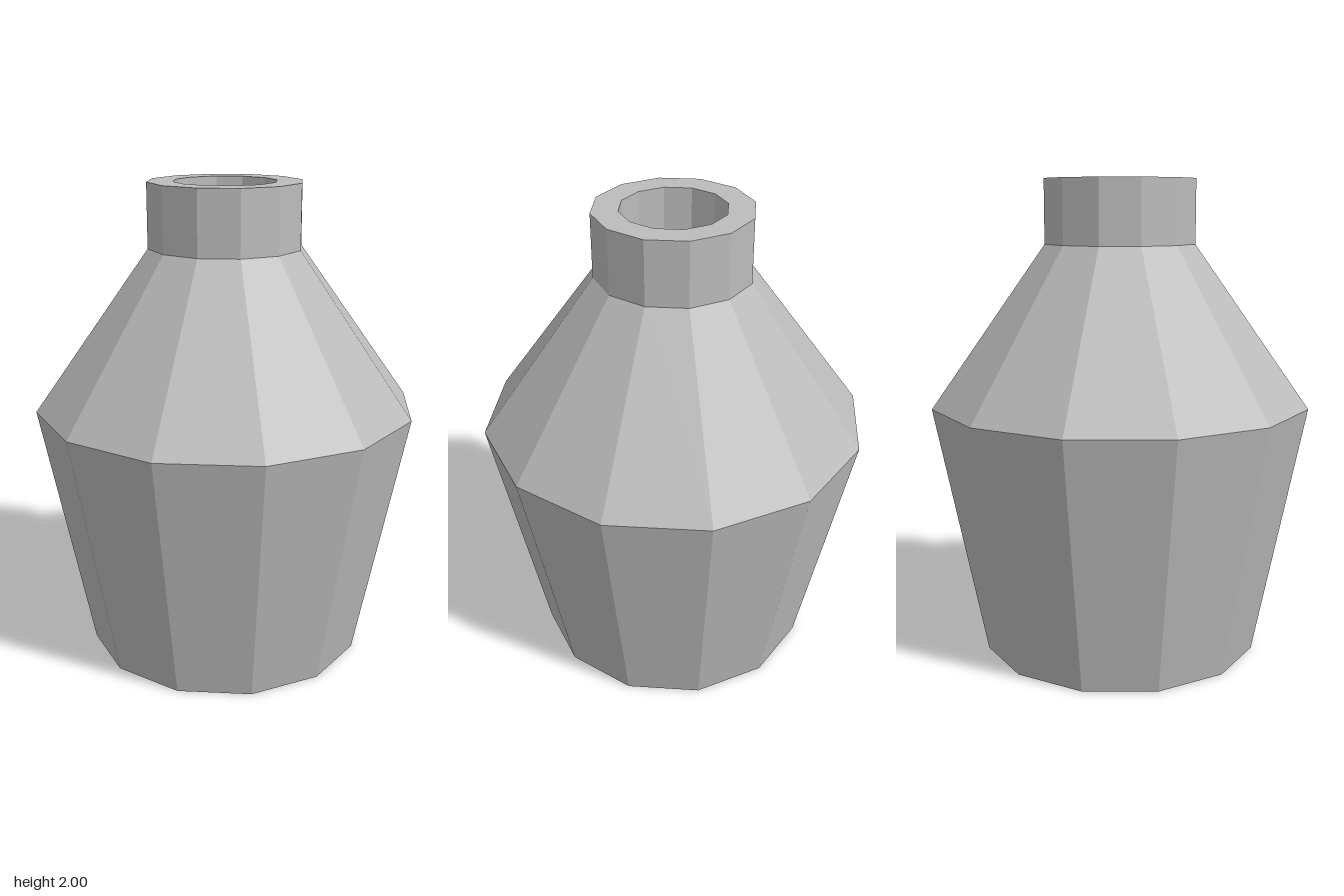
import * as THREE from 'three';

const SIDES = 12;

export function createModel() {
  const group = new THREE.Group();
  group.name = 'bottle';
  const grey = new THREE.MeshStandardMaterial({ color: 0xbcbcbc, flatShading: true });
  grey.name = 'grey';

  // Each part is a faceted ring surface turned from a [radius, height] profile
  const turn = (name, profile) => {
    const points = profile.map(([r, y]) => new THREE.Vector2(r, y));
    const mesh = new THREE.Mesh(new THREE.LatheGeometry(points, SIDES), grey);
    mesh.name = name;
    group.add(mesh);
  };

  // Closed base and flaring body
  turn('body', [[0, 0], [0.59, 0], [0.8, 1.07]]);
  // Sloping shoulder up to the neck
  turn('shoulder', [[0.8, 1.07], [0.32, 1.735]]);
  // Neck with a flat rim
  turn('neck', [[0.32, 1.735], [0.32, 2], [0.213, 2]]);
  // Recessed mouth: inner wall and floor
  turn('mouth', [[0.213, 2], [0.213, 1.735], [0, 1.735]]);

  return group;
}
